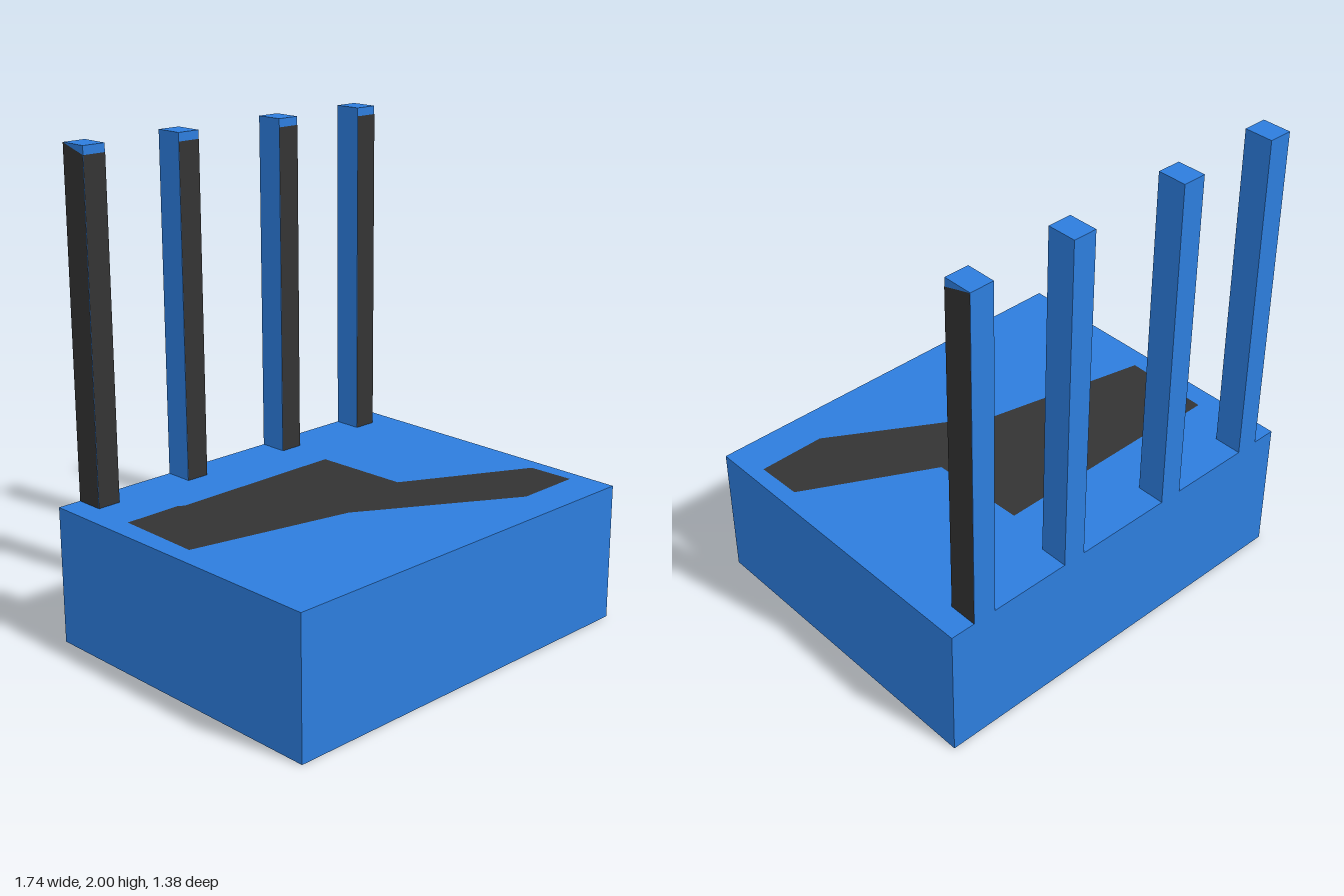
import * as THREE from 'three';

const BASE = { w: 1.74, h: 0.577, d: 1.38 };
const POST = { w: 0.1, top: 2, front: -0.569, back: -0.69 };
const PANEL_TOP = 1.965; // dark panels stop just below the post tops
const LIFT = 0.0015;     // keeps the flat dark panels clear of the faces below

const blue = new THREE.MeshStandardMaterial({ color: 0x2d7ddd });
const dark = new THREE.MeshStandardMaterial({ color: 0x333333 });

function box(name, w, h, d, x, y, z) {
  const mesh = new THREE.Mesh(new THREE.BoxGeometry(w, h, d), blue);
  mesh.name = name;
  mesh.position.set(x, y, z);
  return mesh;
}

// Flat dark panel from a 2D outline
function panel(name, points) {
  const shape = new THREE.Shape(points.map(([x, y]) => new THREE.Vector2(x, y)));
  const mesh = new THREE.Mesh(new THREE.ShapeGeometry(shape), dark);
  mesh.name = name;
  return mesh;
}

// Post with a dark front; outerSide (+1 / -1) adds a dark outward face
function post(name, x, outerSide) {
  const group = new THREE.Group();
  group.name = name;
  group.position.x = x;
  const h = POST.top - BASE.h;
  const depth = POST.front - POST.back;
  group.add(box('postBody', POST.w, h, depth, 0, BASE.h + h / 2, (POST.front + POST.back) / 2));

  const half = POST.w / 2;
  const front = panel('postFrontPanel', [
    [-half, BASE.h], [half, BASE.h], [half, PANEL_TOP], [-half, PANEL_TOP],
  ]);
  front.position.z = POST.front + LIFT;
  group.add(front);

  if (outerSide) {
    // Slanted top edge rises from the front panel to the back corner
    const f = -outerSide * POST.front, b = -outerSide * POST.back;
    const side = panel('postSidePanel', [
      [f, BASE.h], [b, BASE.h], [b, POST.top], [f, PANEL_TOP],
    ]);
    side.rotation.y = outerSide * Math.PI / 2;
    side.position.x = outerSide * (half + LIFT);
    group.add(side);
  }
  return group;
}

export function createModel() {
  const model = new THREE.Group();
  model.name = 'postedBlock';

  // Solid base block
  model.add(box('base', BASE.w, BASE.h, BASE.d, 0, BASE.h / 2, 0));

  // Dark irregular patch on top of the base, outlined in x and z
  const outline = [
    [-0.78, -0.37], [-0.533, -0.372], [-0.51, -0.356], [0.263, -0.36], [0.277, 0.05],
    [0.802, 0.323], [0.808, 0.519], [0.523, 0.523], [-0.105, 0.15], [-0.788, 0.005],
  ];
  const patch = panel('topPatch', outline.map(([x, z]) => [x, -z]));
  patch.rotation.x = -Math.PI / 2;
  patch.position.y = BASE.h + LIFT;
  model.add(patch);

  // Row of posts along the back edge
  model.add(post('rightOuterPost', -0.717, -1));
  model.add(post('rightInnerPost', -0.264, 0));
  model.add(post('leftInnerPost', 0.262, 0));
  model.add(post('leftOuterPost', 0.713, 1));

  return model;
}
